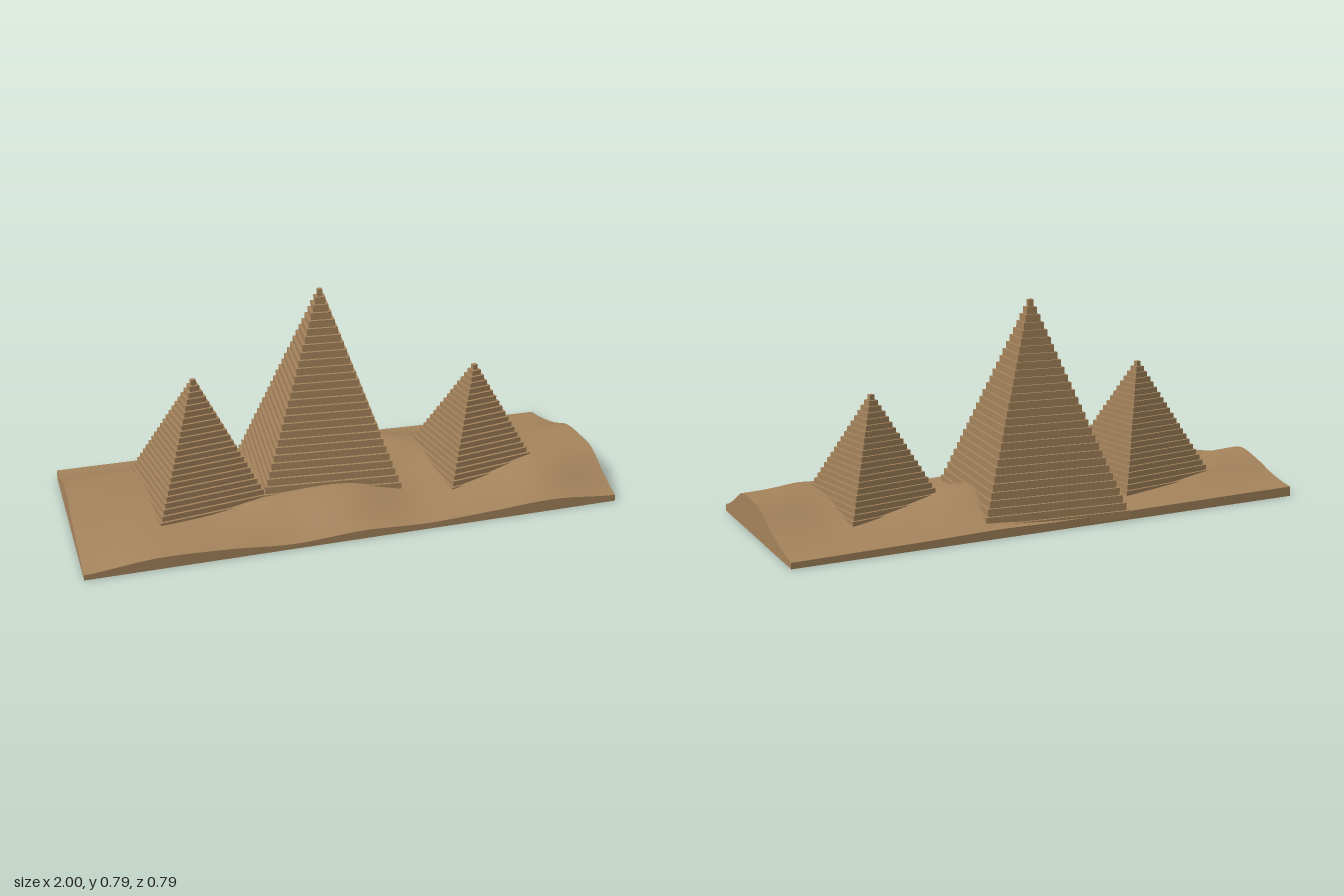
import * as THREE from 'three';
import { mergeGeometries } from 'three/addons/utils/BufferGeometryUtils.js';

// Dune heights: rows run from x = -1 to 1, columns from the front to the back
const DUNES = [
  [0.020, 0.040, 0.060, 0.090, 0.124, 0.100, 0.060, 0.037],
  [0.044, 0.058, 0.065, 0.085, 0.110, 0.107, 0.062, 0.036],
  [0.038, 0.055, 0.065, 0.080, 0.090, 0.085, 0.058, 0.034],
  [0.020, 0.065, 0.090, 0.090, 0.090, 0.075, 0.052, 0.032],
  [0.033, 0.085, 0.107, 0.110, 0.100, 0.080, 0.050, 0.030],
  [0.024, 0.050, 0.068, 0.085, 0.120, 0.118, 0.070, 0.033],
  [0.034, 0.070, 0.085, 0.098, 0.105, 0.085, 0.050, 0.028],
  [0.046, 0.105, 0.124, 0.115, 0.090, 0.060, 0.038, 0.025],
  [0.025, 0.067, 0.121, 0.126, 0.117, 0.074, 0.042, 0.022],
];
const FRONT = 0.395, BACK = -0.38;

// Smooth curve through evenly spaced values, t from 0 to 1
function spline(values, t) {
  const last = values.length - 1;
  const f = Math.min(Math.max(t, 0), 1) * last;
  const i = Math.min(Math.floor(f), last - 1);
  const u = f - i;
  const a = values[Math.max(i - 1, 0)], b = values[i];
  const c = values[i + 1], d = values[Math.min(i + 2, last)];
  return b + 0.5 * u * (c - a + u * (2 * a - 5 * b + 4 * c - d + u * (3 * (b - c) + d - a)));
}

function duneHeight(x, z) {
  const tz = (FRONT - z) / (FRONT - BACK);
  return spline(DUNES.map((row) => spline(row, tz)), (x + 1) / 2);
}

// Slab whose top face follows the dunes; walls stay flat
function duneGeometry() {
  const geo = new THREE.BoxGeometry(2, 1, FRONT - BACK, 72, 1, 32);
  geo.translate(0, 0.5, (FRONT + BACK) / 2);
  const p = geo.attributes.position;
  for (let i = 0; i < p.count; i++) {
    if (p.getY(i) > 0.5) p.setY(i, duneHeight(p.getX(i), p.getZ(i)));
  }
  geo.computeVertexNormals();
  return geo;
}

// Square courses that shrink evenly towards the top
function steppedPyramid(base, top, courses) {
  const bottom = 0.012;
  const step = (top - bottom) / courses;
  const parts = [];
  for (let i = 0; i < courses; i++) {
    const size = base * (1 - i / courses);
    parts.push(new THREE.BoxGeometry(size, step, size).translate(0, bottom + (i + 0.5) * step, 0));
  }
  return mergeGeometries(parts);
}

export function createModel() {
  const model = new THREE.Group();
  const sand = new THREE.MeshStandardMaterial({ color: 0xa5845c });
  sand.name = 'sandstone';

  const dunes = new THREE.Mesh(duneGeometry(), sand);
  dunes.name = 'dunes';
  model.add(dunes);

  const pyramids = [
    { name: 'centrePyramid', x: -0.02, z: -0.09, base: 0.56, top: 0.788, courses: 29, turn: -0.094 },
    { name: 'rightPyramid', x: -0.516, z: -0.03, base: 0.46, top: 0.512, courses: 25, turn: 0.138 },
    { name: 'leftPyramid', x: 0.556, z: 0.03, base: 0.42, top: 0.466, courses: 23, turn: 0.16 },
  ];
  for (const { name, x, z, base, top, courses, turn } of pyramids) {
    const pyramid = new THREE.Mesh(steppedPyramid(base, top, courses), sand);
    pyramid.name = name;
    pyramid.position.set(x, 0, z);
    pyramid.rotation.y = turn;
    model.add(pyramid);
  }
  return model;
}
